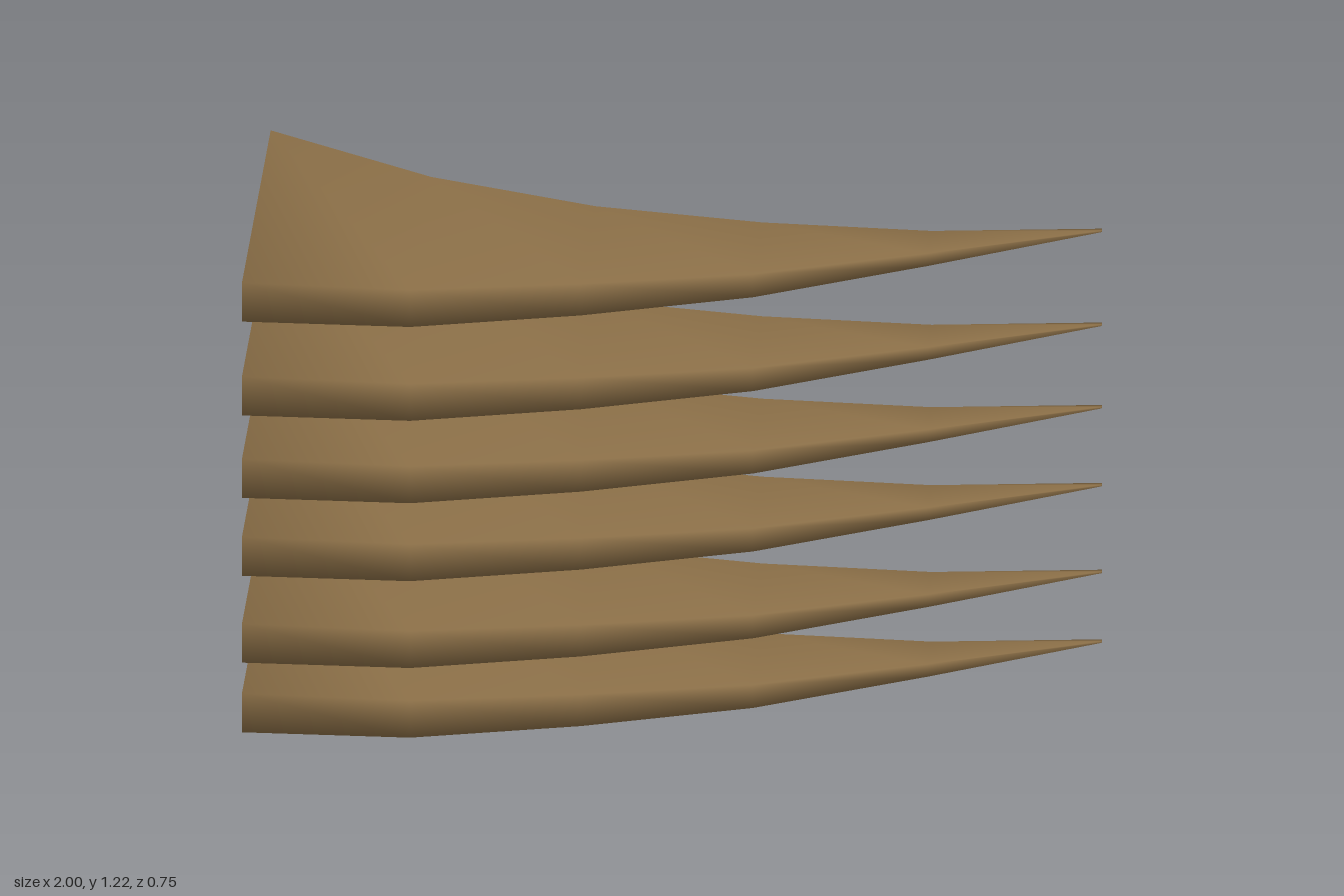
import * as THREE from 'three';

// Stations along the blade: x, back edge z, front edge z, thickness
const STATIONS = [
  [-1.0, -0.38, 0.375, 0.105],
  [-0.6, -0.19, 0.37, 0.1],
  [-0.2, -0.095, 0.29, 0.085],
  [0.2, -0.072, 0.185, 0.062],
  [0.6, -0.092, 0.02, 0.034],
  [1.0, -0.167, -0.157, 0.004],
];

// Height of the middle of each blade
const HEIGHTS = [0.0525, 0.241, 0.687, 0.476, 0.91, 1.164];

// Curved, tapering slab: rectangular sections with shared vertices for soft shading
function bladeGeometry() {
  const positions = [];
  const index = [];
  const quad = (a, b, c, d) => index.push(a, b, c, a, c, d);

  for (const [x, back, front, t] of STATIONS) {
    positions.push(
      x, t / 2, back,
      x, t / 2, front,
      x, -t / 2, front,
      x, -t / 2, back,
    );
  }
  for (let s = 0; s < STATIONS.length - 1; s++) {
    for (let k = 0; k < 4; k++) {
      const a = s * 4 + k;
      const b = s * 4 + ((k + 1) % 4);
      quad(a, b, b + 4, a + 4);
    }
  }
  // Root and tip caps
  const last = (STATIONS.length - 1) * 4;
  quad(3, 2, 1, 0);
  quad(last, last + 1, last + 2, last + 3);

  const geometry = new THREE.BufferGeometry();
  geometry.setAttribute('position', new THREE.Float32BufferAttribute(positions, 3));
  geometry.setIndex(index);
  geometry.computeVertexNormals();
  return geometry;
}

export function createModel() {
  const group = new THREE.Group();
  group.name = 'bladeStack';

  const brown = new THREE.MeshStandardMaterial({ color: 0x8b6f47 });
  brown.name = 'brown';

  // Six identical blades stacked at uneven spacing
  const geometry = bladeGeometry();
  HEIGHTS.forEach((y, i) => {
    const blade = new THREE.Mesh(geometry, brown);
    blade.name = `blade${i + 1}`;
    blade.position.y = y;
    group.add(blade);
  });
  return group;
}
